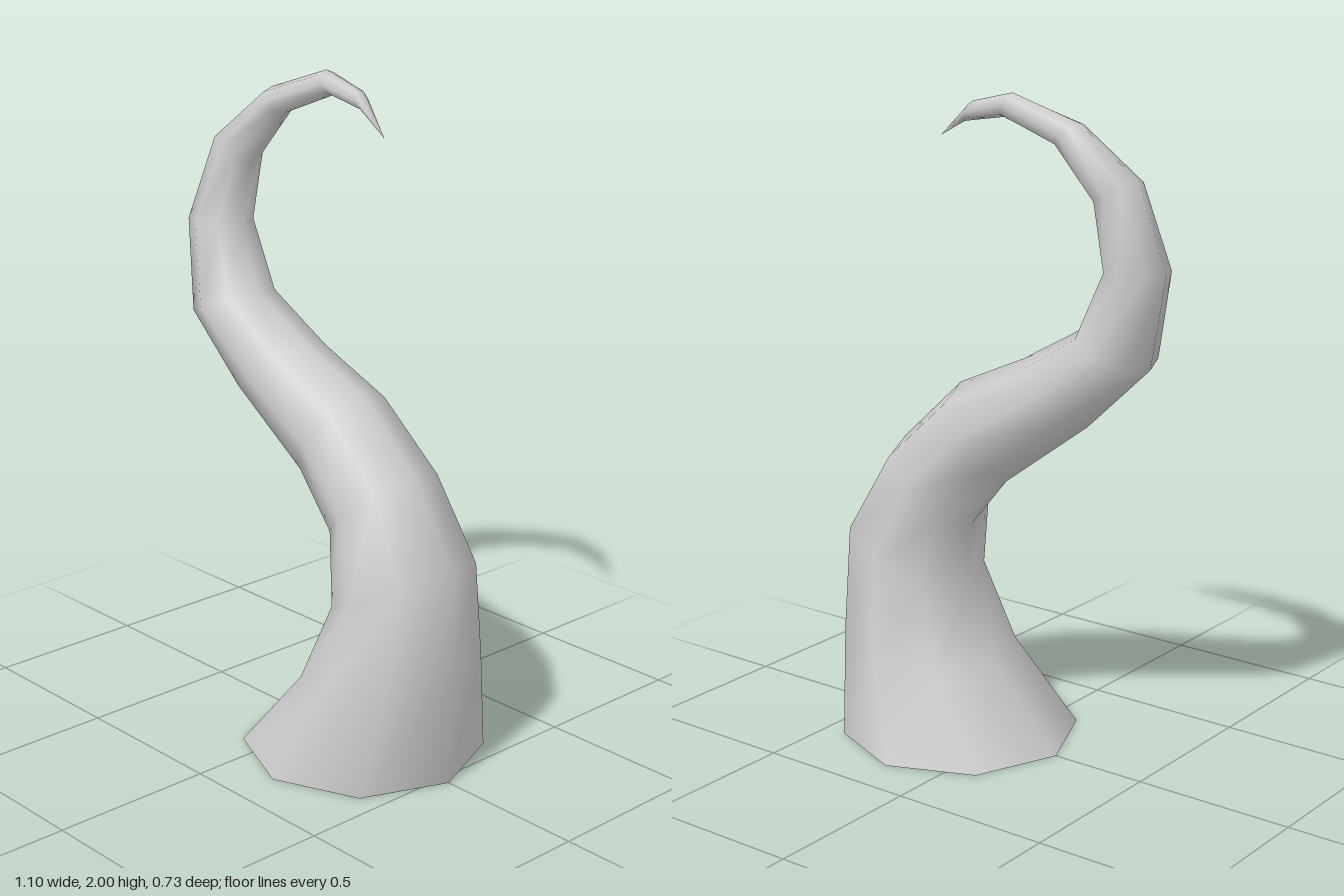
import * as THREE from 'three';

const SIDES = 8;

// Each ring: [x, y] on the left edge, [x, y] on the right edge, z of the centre, half depth
const RINGS = [
  [-0.195, 0, 0.535, 0, 0, 0.365],
  [0.03, 0.24, 0.545, 0.34, 0, 0.275],
  [0.14, 0.47, 0.535, 0.66, 0, 0.22],
  [0.12, 0.68, 0.38, 0.91, 0, 0.18],
  [0, 0.83, 0.17, 1.11, 0.01, 0.16],
  [-0.28, 1.04, -0.05, 1.21, 0.025, 0.145],
  [-0.49, 1.24, -0.26, 1.33, 0.03, 0.13],
  [-0.55, 1.52, -0.36, 1.52, 0.01, 0.1],
  [-0.48, 1.78, -0.35, 1.71, -0.03, 0.077],
  [-0.3, 1.93, -0.24, 1.86, -0.062, 0.056],
  [-0.1, 2, -0.07, 1.93, -0.095, 0.036],
  [0.05, 1.965, 0.08, 1.905, -0.08, 0.025],
];
const TIP = [0.2, 1.85, -0.04];

// Skins the rings from the open base up to the pointed tip
function tentacleGeometry() {
  const positions = [];
  const indices = [];
  for (const [lx, ly, rx, ry, z, depth] of RINGS) {
    for (let i = 0; i < SIDES; i++) {
      const a = (i / SIDES) * Math.PI * 2;
      const t = (1 + Math.cos(a)) / 2;
      positions.push(lx + (rx - lx) * t, ly + (ry - ly) * t, z + Math.sin(a) * depth);
    }
  }
  const tip = positions.length / 3;
  positions.push(...TIP);

  for (let r = 0; r < RINGS.length; r++) {
    for (let i = 0; i < SIDES; i++) {
      const a = r * SIDES + i;
      const b = r * SIDES + ((i + 1) % SIDES);
      if (r === RINGS.length - 1) indices.push(a, tip, b);
      else indices.push(a, a + SIDES, b, b, a + SIDES, b + SIDES);
    }
  }
  const geometry = new THREE.BufferGeometry();
  geometry.setAttribute('position', new THREE.Float32BufferAttribute(positions, 3));
  geometry.setIndex(indices);
  geometry.computeVertexNormals();
  return geometry;
}

export function createModel() {
  const group = new THREE.Group();
  group.name = 'curledTentacle';
  // The base is open, so the inside shows too
  const material = new THREE.MeshStandardMaterial({ color: 0xcccccc, side: THREE.DoubleSide });
  const tentacle = new THREE.Mesh(tentacleGeometry(), material);
  tentacle.name = 'tentacle';
  group.add(tentacle);
  return group;
}
